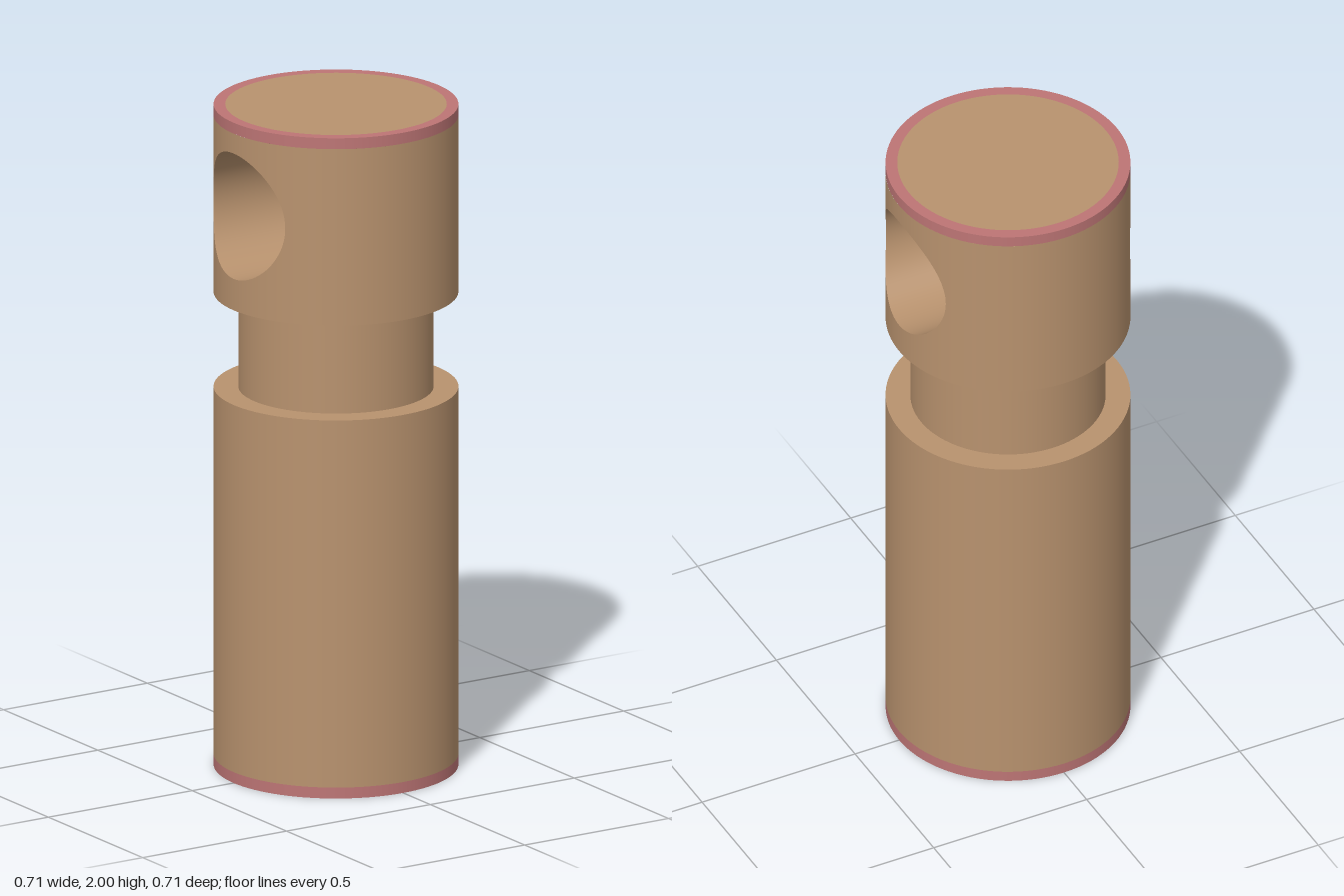
import * as THREE from 'three';

const R = 0.356, NECK = 0.284, CAP = 0.322, BAND = 0.033;
const SHOULDER = 1.145, HEAD = 1.432, TOP = 2;
const HOLE_R = 0.19, HOLE_Y = 1.717, SEG = 96;

const wood = new THREE.MeshStandardMaterial({ color: 0xb8926e });
wood.name = 'tan';
const trim = new THREE.MeshStandardMaterial({ color: 0xbd7575 });
trim.name = 'dusty pink';

// Sharp-edged turned surface between two profile points (walk: bottom, outside, top)
function turned(group, name, material, [r0, y0], [r1, y1]) {
  const points = [new THREE.Vector2(r0, y0), new THREE.Vector2(r1, y1)];
  const mesh = new THREE.Mesh(new THREE.LatheGeometry(points, SEG), material);
  mesh.name = name;
  group.add(mesh);
}

// Ruled strip through pairs [start, end, normal]
function strip(pairs) {
  const position = [], normal = [], index = [];
  pairs.forEach(([a, b, n], i) => {
    position.push(...a, ...b);
    normal.push(...n, ...n);
    if (i) {
      const k = 2 * i - 2;
      index.push(k, k + 2, k + 1, k + 1, k + 2, k + 3);
    }
  });
  const geometry = new THREE.BufferGeometry();
  geometry.setAttribute('position', new THREE.Float32BufferAttribute(position, 3));
  geometry.setAttribute('normal', new THREE.Float32BufferAttribute(normal, 3));
  geometry.setIndex(index);
  return geometry;
}

// Vertical wall strip around the y axis, with bottom and top heights per angle
function wall(angles, low, high) {
  return strip(angles.map((p, i) => {
    const s = Math.sin(p), c = Math.cos(p);
    return [[R * s, low(i), R * c], [R * s, high(i), R * c], [s, 0, c]];
  }));
}

const range = (n, from, to) => Array.from({ length: n + 1 }, (_, i) => from + (to - from) * i / n);

export function createModel() {
  const model = new THREE.Group();
  model.name = 'groovedPin';

  // Bottom cap and its coloured edge
  turned(model, 'bottomCap', wood, [0, 0], [CAP, 0]);
  turned(model, 'bottomRim', trim, [CAP, 0], [R, 0]);
  turned(model, 'bottomBand', trim, [R, 0], [R, BAND]);

  // Body, shoulder, neck groove and underside of the head
  turned(model, 'body', wood, [R, BAND], [R, SHOULDER]);
  turned(model, 'shoulder', wood, [R, SHOULDER], [NECK, SHOULDER]);
  turned(model, 'neck', wood, [NECK, SHOULDER], [NECK, HEAD]);
  turned(model, 'headUnderside', wood, [NECK, HEAD], [R, HEAD]);

  // Head wall, cut by the cross hole on both sides
  const head = new THREE.Group();
  head.name = 'head';
  const addHead = (name, geometry) => {
    const mesh = new THREE.Mesh(geometry, wood);
    mesh.name = name;
    head.add(mesh);
  };
  const edge = Math.asin(HOLE_R / R), n = 48;
  const low = () => HEAD, high = () => TOP - BAND;
  const sweep = range(n, -Math.PI / 2, Math.PI / 2);
  const rise = sweep.map(s => HOLE_R * Math.cos(s));
  for (const side of [1, -1]) {
    const mid = side * Math.PI / 2;
    const across = sweep.map(s => mid + Math.asin(HOLE_R * Math.sin(s) / R));
    addHead('wallBelowHole', wall(across, low, i => HOLE_Y - rise[i]));
    addHead('wallAboveHole', wall(across, i => HOLE_Y + rise[i], high));
    addHead('wallBesideHole', wall(range(24, mid + edge, mid + Math.PI - edge), low, high));
  }

  // Inside of the cross hole
  addHead('crossHole', strip(range(2 * n, Math.PI * 2, 0).map(t => {
    const c = Math.cos(t), s = Math.sin(t);
    const y = HOLE_Y + HOLE_R * c, z = HOLE_R * s, x = Math.sqrt(R * R - z * z);
    return [[-x, y, z], [x, y, z], [0, -c, -s]];
  })));
  model.add(head);

  // Top cap and its coloured edge
  turned(model, 'topBand', trim, [R, TOP - BAND], [R, TOP]);
  turned(model, 'topRim', trim, [R, TOP], [CAP, TOP]);
  turned(model, 'topCap', wood, [CAP, TOP], [0, TOP]);
  return model;
}
